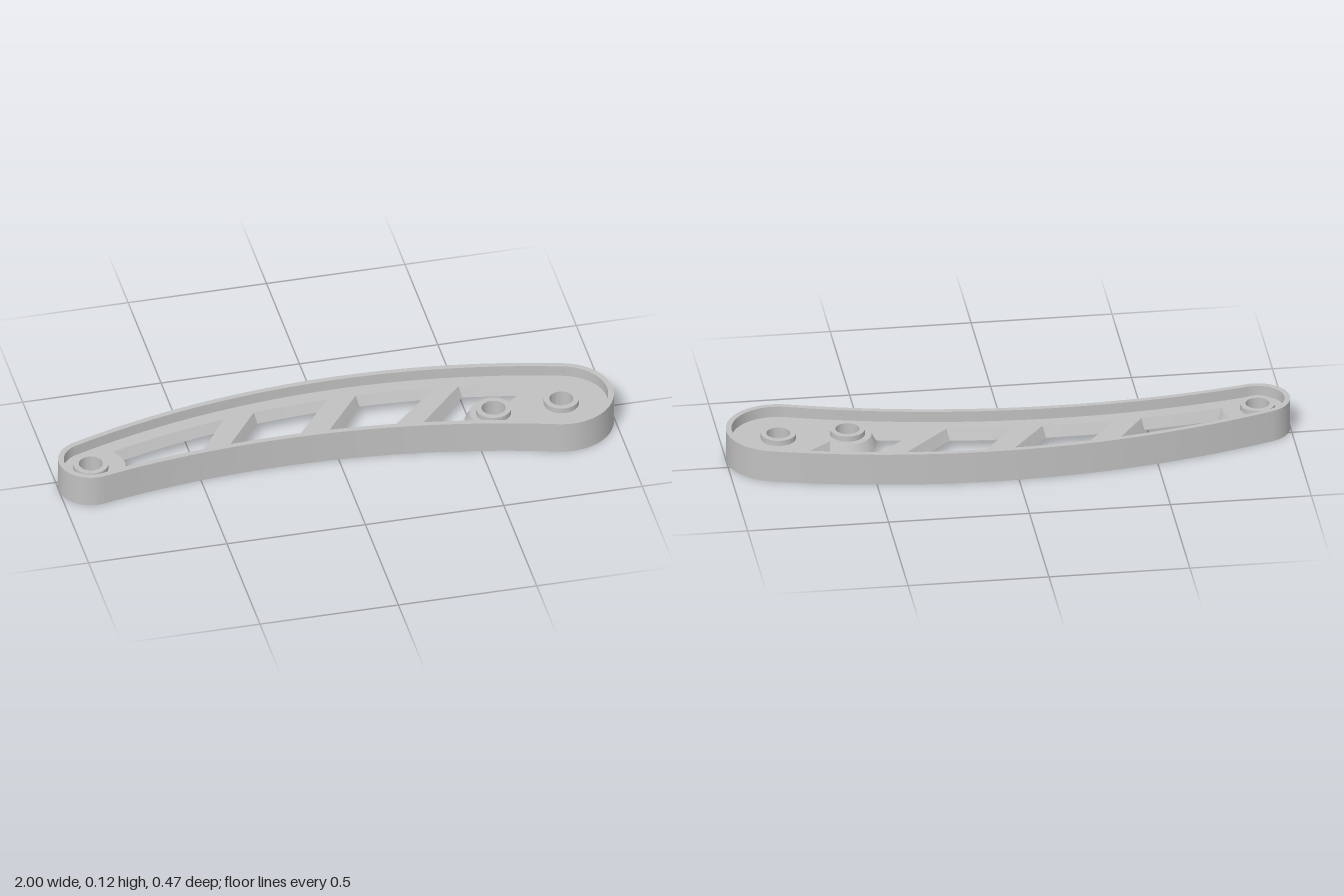
import * as THREE from 'three';
import { toCreasedNormals } from 'three/addons/utils/BufferGeometryUtils.js';

// Plan layout in (x, z): two round ends joined by two tangent arcs
const LEFT = { x: -0.885, z: 0.05, r: 0.115 };
const RIGHT = { x: 0.815, z: 0.05, r: 0.185 };
const BACK = { x: 0.079, z: 2.684, r: 2.92 };
const FRONT = { x: -0.176, z: 3.37, r: 3.28 };
const HEIGHT = 0.118, WEB_TOP = 0.078, WEB_BOTTOM = 0.04;
const DRAFT = 0.018, MARGIN = 0.073;
const BOSSES = [[LEFT.x, LEFT.z], [0.57, 0.05], [RIGHT.x, RIGHT.z]];

const angle = (from, to) => Math.atan2(to.z - from.z, to.x - from.x);

function arc(c, r, a0, a1, n) {
  return Array.from({ length: n + 1 }, (_, i) => {
    const a = a0 + (a1 - a0) * i / n;
    return new THREE.Vector2(c.x + r * Math.cos(a), c.z + r * Math.sin(a));
  });
}

// Arm outline moved inwards by d
function outline(d) {
  const aL = angle(BACK, LEFT), aR = angle(BACK, RIGHT);
  const bL = angle(FRONT, LEFT), bR = angle(FRONT, RIGHT);
  return [
    ...arc(BACK, BACK.r - d, aL, aR, 48),
    ...arc(RIGHT, RIGHT.r - d, aR, bR + Math.PI, 36).slice(1),
    ...arc(FRONT, FRONT.r + d, bR, bL, 48).slice(1),
    ...arc(LEFT, LEFT.r - d, bL + Math.PI, aL + 2 * Math.PI, 36).slice(1, -1),
  ];
}

// Points along the back or front edge of the openings, between two x values
function edge(c, r, x0, x1, n = 10) {
  return Array.from({ length: n + 1 }, (_, i) => {
    const x = x0 + (x1 - x0) * i / n;
    return new THREE.Vector2(x, c.z - Math.sqrt(r * r - (x - c.x) ** 2));
  });
}

// The four slanted openings, moved inwards by d
function openings(d) {
  const back = (x0, x1) => edge(BACK, BACK.r - MARGIN - d, x0, x1);
  const front = (x0, x1) => edge(FRONT, FRONT.r + MARGIN + d, x0, x1);
  const near = 0.5 * d, far = 2.1 * d;
  const endArc = arc(LEFT, 0.125 + d, 0.14 - 9 * d, -0.667 + 9 * d, 8);
  const bossArc = arc({ x: 0.57, z: 0.05 }, 0.085 + d, -0.63 - 10 * d, -3.55 + 17 * d, 24);
  return [
    [...back(endArc[8].x, -0.364 - far).slice(1), ...front(-0.47 - near, endArc[0].x).slice(0, -1), ...endArc],
    [...back(-0.25 + near, 0.02 - far), ...front(-0.118 - near, -0.374 + far)],
    [...back(0.123 + near, 0.406 - far), ...front(0.22 - near, -0.016 + far)],
    [...back(0.487 + near, 0.743 - far), ...bossArc, ...front(bossArc[24].x, 0.315 + far).slice(1)],
  ];
}

// Upright solid from a plan shape, between two heights
function slab(shape, y0, y1, curveSegments = 40) {
  const g = new THREE.ExtrudeGeometry(shape, { depth: y1 - y0, bevelEnabled: false, curveSegments });
  g.rotateX(Math.PI / 2).translate(0, y1, 0);
  return toCreasedNormals(g, 0.6);
}

// Flat face of the web, with openings and bolt holes
function webFace(d, y, up) {
  const shape = new THREE.Shape(outline(0.01));
  for (const o of openings(d)) shape.holes.push(new THREE.Path(o));
  for (const [x, z] of BOSSES) shape.holes.push(new THREE.Path().absarc(x, z, 0.05, 0, Math.PI * 2, true));
  const g = new THREE.ShapeGeometry(shape, 24);
  g.rotateX(Math.PI / 2).translate(0, y, 0);
  if (up) {
    g.setIndex(Array.from(g.index.array).reverse());
    g.computeVertexNormals();
  }
  return g;
}

// Tapered wall of one opening, wide at the top
function openingWall(top, bottom) {
  const pos = [];
  const add = (p, y) => pos.push(p.x, y, p.y);
  top.forEach((t, i) => {
    const j = (i + 1) % top.length;
    add(t, WEB_TOP); add(bottom[i], WEB_BOTTOM); add(top[j], WEB_TOP);
    add(top[j], WEB_TOP); add(bottom[i], WEB_BOTTOM); add(bottom[j], WEB_BOTTOM);
  });
  const g = new THREE.BufferGeometry();
  g.setAttribute('position', new THREE.Float32BufferAttribute(pos, 3));
  g.computeVertexNormals();
  return toCreasedNormals(g, 0.5);
}

export function createModel() {
  const model = new THREE.Group();
  model.name = 'curvedArm';
  const grey = new THREE.MeshStandardMaterial({ color: 0xc0c0c0 });
  grey.name = 'light grey';
  const add = (parent, name, geometry) => {
    const mesh = new THREE.Mesh(geometry, grey);
    mesh.name = name;
    parent.add(mesh);
  };

  // Raised wall around the whole arm
  const rim = new THREE.Shape(outline(0));
  rim.holes.push(new THREE.Path(outline(0.02)));
  add(model, 'rim', slab(rim, 0, HEIGHT));

  // Recessed web with tapered openings
  const web = new THREE.Group();
  web.name = 'web';
  model.add(web);
  add(web, 'webTop', webFace(0, WEB_TOP, true));
  add(web, 'webBottom', webFace(DRAFT, WEB_BOTTOM, false));
  const narrow = openings(DRAFT);
  openings(0).forEach((o, i) => add(web, 'openingWall' + (i + 1), openingWall(o, narrow[i])));

  // Bolt bosses standing out on both sides of the web
  BOSSES.forEach(([x, z], i) => {
    const ring = new THREE.Shape().absarc(x, z, 0.062, 0, Math.PI * 2);
    ring.holes.push(new THREE.Path().absarc(x, z, 0.042, 0, Math.PI * 2, true));
    add(model, 'boss' + (i + 1), slab(ring, 0.02, 0.098));
  });
  return model;
}
